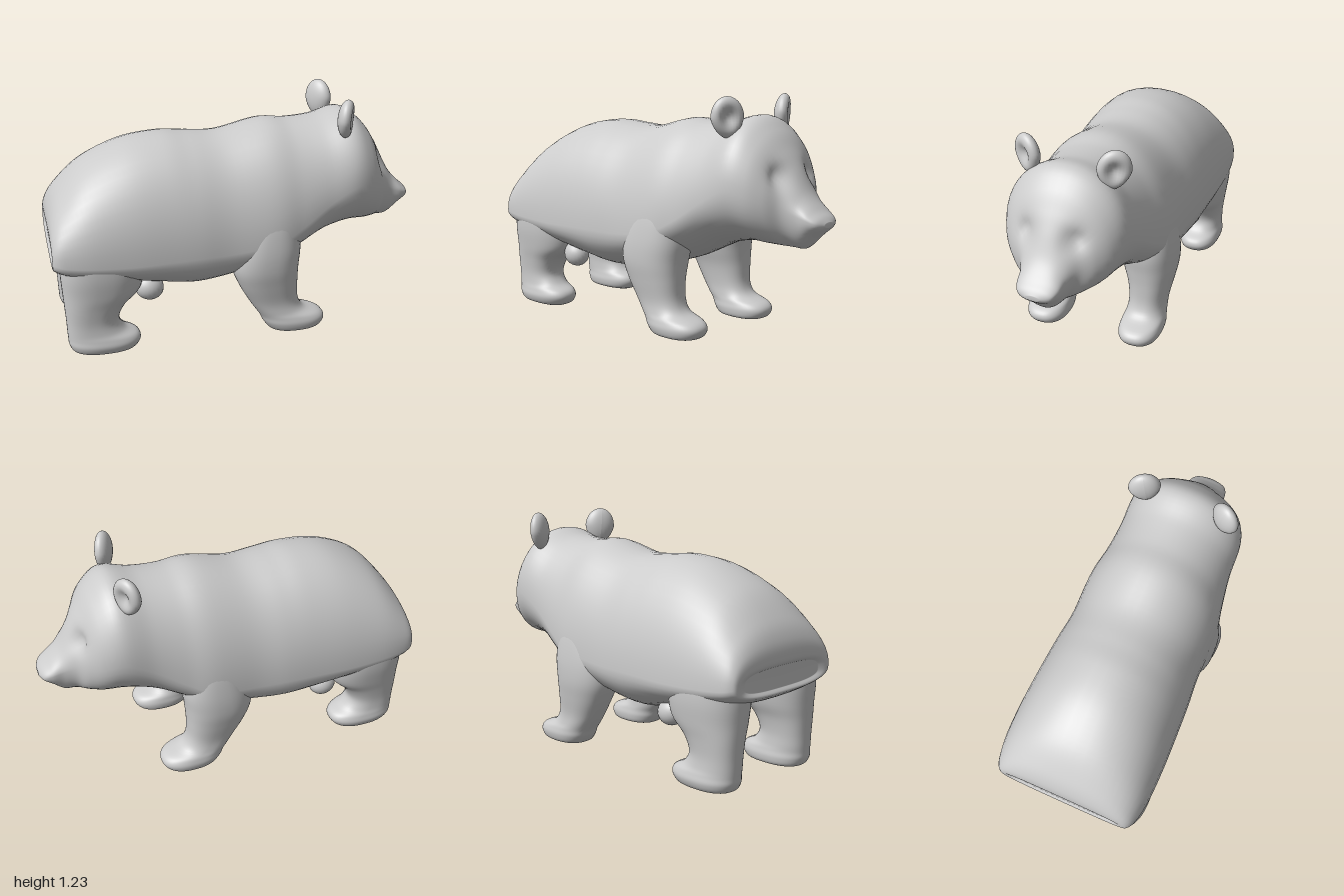
import * as THREE from 'three';

const material = new THREE.MeshStandardMaterial({ color: 0xcccccc });
const SIDES = 48;
const power = (v, n) => Math.sign(v) * Math.abs(v) ** (2 / n);

// Smoothly fills in rows between the given cross-section rows
function refine(rows, steps) {
  const out = [];
  const row = (i) => rows[Math.min(Math.max(i, 0), rows.length - 1)];
  for (let i = 0; i < rows.length - 1; i++) {
    for (let s = 0; s < steps; s++) {
      const t = s / steps;
      out.push(row(i).map((b, k) => {
        const a = row(i - 1)[k], c = row(i + 1)[k], d = row(i + 2)[k];
        return b + 0.5 * t * (c - a + t * (2 * a - 5 * b + 4 * c - d + t * (3 * (b - c) + d - a)));
      }));
    }
  }
  out.push(rows[rows.length - 1]);
  return out;
}

// Skins a list of closed rings and closes both ends
function loft(rings) {
  const pos = [], index = [];
  rings.forEach((r) => r.forEach((p) => pos.push(...p)));
  const at = (i, j) => i * SIDES + (j % SIDES);
  for (let i = 0; i < rings.length - 1; i++) {
    for (let j = 0; j < SIDES; j++) {
      const a = at(i, j), b = at(i, j + 1), c = at(i + 1, j), d = at(i + 1, j + 1);
      index.push(a, c, b, b, c, d);
    }
  }
  const last = rings.length - 1;
  [0, last].forEach((i) => {
    const centre = [0, 1, 2].map((k) => rings[i].reduce((s, p) => s + p[k], 0) / SIDES);
    const m = pos.length / 3;
    pos.push(...centre);
    for (let j = 0; j < SIDES; j++) {
      if (i === 0) index.push(m, at(i, j), at(i, j + 1));
      else index.push(m, at(i, j + 1), at(i, j));
    }
  });
  const g = new THREE.BufferGeometry();
  g.setAttribute('position', new THREE.Float32BufferAttribute(pos, 3));
  g.setIndex(index);
  g.computeVertexNormals();
  return g;
}

function ring(fn) {
  return Array.from({ length: SIDES }, (_, j) => {
    const a = (j / SIDES) * Math.PI * 2;
    return fn(Math.cos(a), Math.sin(a));
  });
}

// Trunk, neck, head and muzzle: x, top, bottom, widest height, half width, squareness
function bodyGeometry() {
  const rows = [
    [-0.985, 0.59, 0.485, 0.53, 0.28, 3],
    [-0.998, 0.62, 0.465, 0.53, 0.335, 2.8],
    [-0.985, 0.71, 0.45, 0.53, 0.37, 2.5],
    [-0.93, 0.81, 0.42, 0.52, 0.395, 2.3],
    [-0.8, 0.94, 0.38, 0.51, 0.412, 2.2],
    [-0.6, 1.035, 0.335, 0.5, 0.413, 2.15],
    [-0.4, 1.066, 0.285, 0.5, 0.405, 2.1],
    [-0.25, 1.056, 0.262, 0.5, 0.397, 2.1],
    [-0.08, 1.05, 0.285, 0.5, 0.383, 2.1],
    [0.15, 1.1, 0.345, 0.53, 0.385, 2.05],
    [0.3, 1.09, 0.41, 0.6, 0.355, 2.05],
    [0.45, 1.1, 0.475, 0.7, 0.33, 2.05],
    [0.6, 1.132, 0.508, 0.78, 0.322, 2.1],
    [0.7, 1.065, 0.505, 0.76, 0.285, 2.1],
    [0.77, 0.97, 0.5, 0.73, 0.225, 2],
    [0.82, 0.885, 0.497, 0.7, 0.155, 1.9],
    [0.88, 0.77, 0.5, 0.67, 0.12, 1.95],
    [0.94, 0.7, 0.56, 0.65, 0.108, 2.1],
    [0.98, 0.665, 0.595, 0.635, 0.085, 2.1],
    [1.0, 0.64, 0.615, 0.627, 0.035, 2],
  ];
  const g = loft(refine(rows, 6).map(([x, top, bottom, mid, w, n]) => ring((c, s) =>
    [x, mid + power(s, n) * (s > 0 ? top - mid : mid - bottom), w * power(c, n)])));
  // Eye sockets pressed in under the brow
  const p = g.attributes.position;
  for (let i = 0; i < p.count; i++) {
    if (p.getX(i) < 0.6) continue;
    const dy = (p.getY(i) - 0.85) / 0.055, dz = (Math.abs(p.getZ(i)) - 0.13) / 0.05;
    p.setX(i, p.getX(i) - 0.035 * Math.exp(-dy * dy - dz * dz));
  }
  g.computeVertexNormals();
  return g;
}

// Legs: y, back x, front x, inner z, outer z, from sole to hidden top
const frontRows = [
  [0, 0.17, 0.38, 0.2, 0.34],
  [0.012, 0.13, 0.42, 0.165, 0.372],
  [0.05, 0.1, 0.44, 0.155, 0.385],
  [0.085, 0.083, 0.415, 0.16, 0.38],
  [0.12, 0.06, 0.325, 0.165, 0.37],
  [0.18, 0.02, 0.29, 0.165, 0.368],
  [0.28, -0.035, 0.285, 0.15, 0.385],
  [0.38, -0.07, 0.29, 0.12, 0.4],
  [0.5, -0.06, 0.3, 0.1, 0.398],
  [0.65, 0.0, 0.27, 0.12, 0.372],
  [0.78, 0.06, 0.2, 0.18, 0.32],
];
const hindRows = [
  [0, -0.87, -0.62, 0.2, 0.34],
  [0.014, -0.92, -0.59, 0.165, 0.37],
  [0.05, -0.94, -0.568, 0.155, 0.385],
  [0.085, -0.943, -0.582, 0.16, 0.38],
  [0.12, -0.945, -0.645, 0.165, 0.372],
  [0.18, -0.947, -0.676, 0.165, 0.37],
  [0.26, -0.952, -0.64, 0.15, 0.38],
  [0.34, -0.957, -0.56, 0.12, 0.395],
  [0.45, -0.962, -0.54, 0.1, 0.408],
  [0.55, -0.95, -0.56, 0.1, 0.4],
  [0.7, -0.88, -0.64, 0.15, 0.35],
];

function legGeometry(rows, side) {
  return loft(refine(rows, 5).map(([y, x0, x1, z0, z1]) => ring((c, s) => [
    (x0 + x1) / 2 + (power(c, 2.4) * (x1 - x0)) / 2,
    y,
    side * (z0 + z1) / 2 + (power(s, 2.4) * (z1 - z0)) / 2,
  ])));
}

// Rounded ear, narrowed at the root and hollowed in front
function earGeometry() {
  const g = new THREE.SphereGeometry(1, 32, 24);
  const p = g.attributes.position;
  for (let i = 0; i < p.count; i++) {
    let x = p.getX(i);
    const y = p.getY(i), z = p.getZ(i);
    if (x > 0) x -= 0.9 * Math.exp(-(y * y + z * z) / 0.25);
    const narrow = y < 0 ? 1 + 0.2 * y : 1;
    p.setXYZ(i, x * 0.048, y * 0.102, z * 0.085 * narrow);
  }
  g.computeVertexNormals();
  return g;
}

export function createModel() {
  const model = new THREE.Group();
  model.name = 'bear';
  const add = (name, geometry) => {
    const mesh = new THREE.Mesh(geometry, material);
    mesh.name = name;
    model.add(mesh);
    return mesh;
  };

  add('bodyAndHead', bodyGeometry());
  for (const side of [1, -1]) {
    add('frontLeg', legGeometry(frontRows, side));
    add('hindLeg', legGeometry(hindRows, side));

    const ear = add('ear', earGeometry());
    ear.position.set(0.555, 1.127, side * 0.225);
    ear.rotation.set(side * 0.12, -side * 0.5, 0);

    // Small bump in front of the thigh
    const knee = add('kneeBump', new THREE.SphereGeometry(1, 24, 16));
    knee.scale.set(0.075, 0.068, 0.065);
    knee.position.set(-0.51, 0.315, side * 0.26);
    knee.rotation.z = -0.3;
  }
  return model;
}
